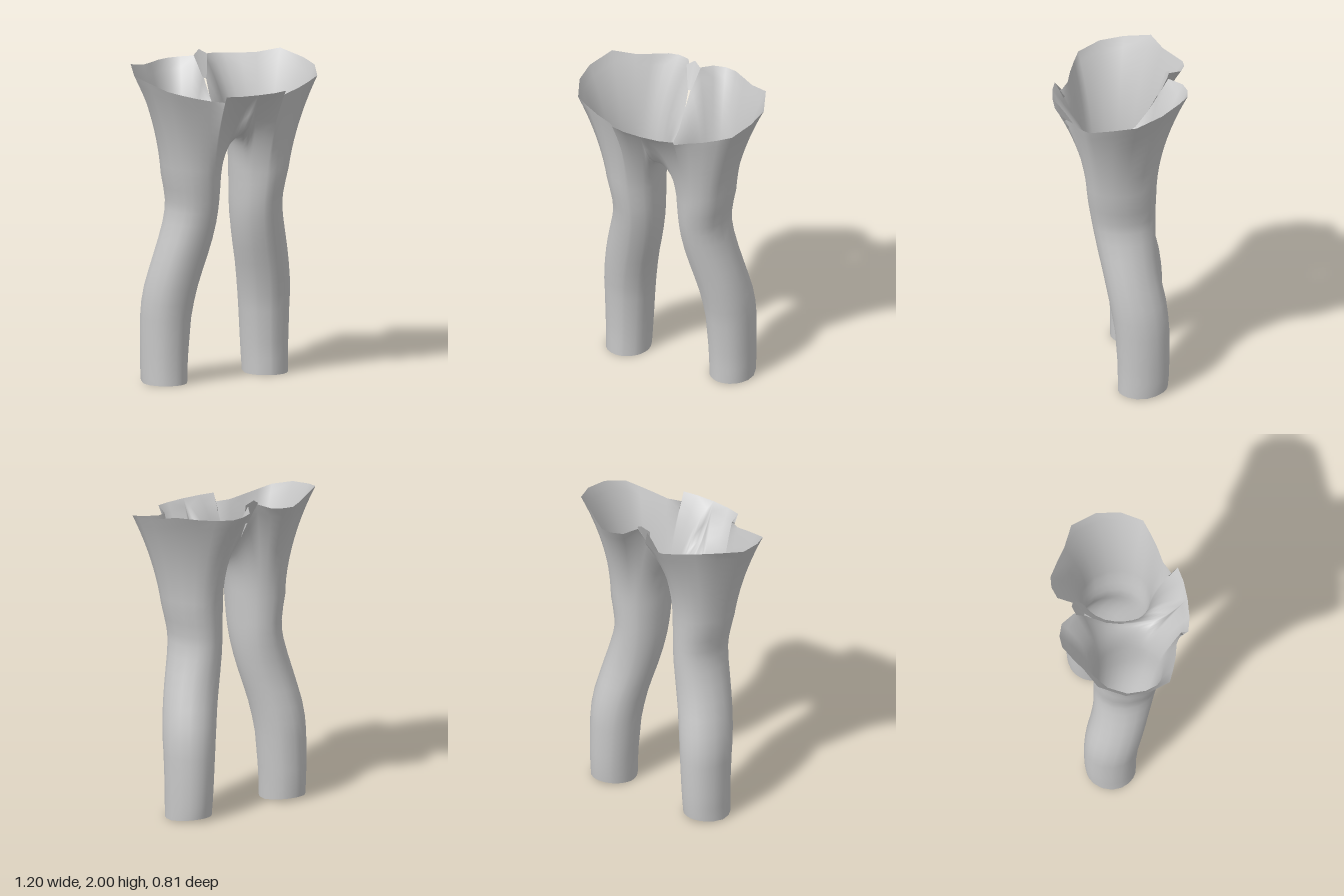
import * as THREE from 'three';

// Leg sections from hem to upper thigh: y, inner x, outer x, back z, front z
const SECTIONS = [
  [0.00, 0.22, 0.495, -0.275, 0.03], [0.10, 0.216, 0.497, -0.283, 0.03],
  [0.20, 0.21, 0.498, -0.286, 0.032], [0.40, 0.196, 0.50, -0.287, 0.046],
  [0.50, 0.183, 0.498, -0.28, 0.062], [0.60, 0.166, 0.487, -0.267, 0.08],
  [0.70, 0.143, 0.468, -0.245, 0.10], [0.80, 0.117, 0.445, -0.226, 0.12],
  [0.90, 0.096, 0.418, -0.215, 0.142], [1.00, 0.081, 0.392, -0.21, 0.162],
  [1.08, 0.075, 0.379, -0.209, 0.177], [1.14, 0.072, 0.38, -0.209, 0.187],
  [1.22, 0.069, 0.394, -0.211, 0.20], [1.30, 0.065, 0.413, -0.214, 0.21],
];

// Upper border of one half: angle around the leg, then x, y, z
const BORDER = [
  // waist edge, front centre to back cleft
  [-45, 0, 1.83, 0.405], [-32, 0.12, 1.83, 0.398], [-18, 0.21, 1.833, 0.377],
  [-11, 0.195, 1.79, 0.335], [2, 0.27, 1.80, 0.295], [20, 0.36, 1.82, 0.275],
  [36, 0.45, 1.845, 0.245], [52, 0.53, 1.87, 0.213], [72, 0.59, 1.91, 0.08],
  [95, 0.60, 1.93, -0.07], [120, 0.53, 1.97, -0.23], [142, 0.40, 1.945, -0.295],
  [158, 0.32, 1.94, -0.35], [172, 0.23, 1.94, -0.405], [185, 0.16, 1.945, -0.41],
  [200, 0.085, 1.95, -0.385], [212, 0.035, 1.965, -0.30],
  // centre seam, down the cleft and forward under the crotch
  [220, 0.008, 1.84, -0.24], [230, 0, 1.73, -0.18], [242, 0, 1.62, -0.10],
  [256, 0, 1.56, -0.01], [270, 0, 1.538, 0.07], [283, 0, 1.538, 0.14],
  [295, 0, 1.56, 0.22], [303, 0, 1.62, 0.29], [309, 0, 1.72, 0.35],
];
const HIP_STEPS = 10;

function sectionPoint([y, inner, outer, back, front], angle) {
  return new THREE.Vector3(
    (inner + outer) / 2 + Math.sin(angle) * (outer - inner) / 2,
    y,
    (front + back) / 2 + Math.cos(angle) * (front - back) / 2
  );
}

// One leg and its half of the hips as a single open surface
function halfGeometry(side) {
  const columns = BORDER.map(([degrees, x, y, z]) => {
    const a = THREE.MathUtils.degToRad(degrees);
    const points = SECTIONS.map((s) => sectionPoint(s, a));
    // hem lifts slightly towards the back
    points[0].y = 0.022 * Math.max(0, -Math.cos(a));
    const start = points[points.length - 1];
    const end = new THREE.Vector3(x, y, z);
    const lean = 0.125 * (1 + Math.cos(a - 0.52));
    const rise = 0.5 + 0.35 * Math.max(0, -Math.sin(a)) ** 3;
    const control = start.clone().lerp(end, lean);
    control.y = THREE.MathUtils.lerp(start.y, end.y, rise);
    const hip = new THREE.QuadraticBezierCurve3(start, control, end);
    return points.concat(hip.getPoints(HIP_STEPS).slice(1));
  });

  const n = columns.length;
  const rows = columns[0].length;
  const positions = [];
  const index = [];
  for (let j = 0; j < rows; j++) {
    for (let i = 0; i < n; i++) {
      const p = columns[i][j];
      positions.push(p.x * side, p.y, p.z);
      if (j === rows - 1) continue;
      const a = j * n + i;
      const b = j * n + (i + 1) % n;
      const c = b + n;
      const d = a + n;
      if (side > 0) index.push(a, b, c, a, c, d);
      else index.push(a, c, b, a, d, c);
    }
  }
  const geometry = new THREE.BufferGeometry();
  geometry.setAttribute('position', new THREE.Float32BufferAttribute(positions, 3));
  geometry.setIndex(index);
  geometry.computeVertexNormals();

  // Blend the two halves smoothly where they meet on the centre line
  const position = geometry.attributes.position;
  const normal = geometry.attributes.normal;
  const v = new THREE.Vector3();
  for (let i = 0; i < position.count; i++) {
    if (Math.abs(position.getX(i)) > 1e-5 || position.getZ(i) < 0) continue;
    v.fromBufferAttribute(normal, i).setX(0).normalize();
    normal.setXYZ(i, v.x, v.y, v.z);
  }
  return geometry;
}

// Small folded peak at the top of the back cleft
function peakGeometry() {
  const geometry = new THREE.BufferGeometry();
  geometry.setAttribute('position', new THREE.Float32BufferAttribute([
    0, 2.0, -0.31,
    0.048, 1.97, -0.29,
    0.015, 1.84, -0.24,
    0, 1.83, -0.23,
    -0.015, 1.84, -0.24,
    -0.048, 1.97, -0.29,
  ], 3));
  geometry.setIndex([0, 3, 2, 0, 2, 1, 0, 5, 4, 0, 4, 3]);
  geometry.computeVertexNormals();
  return geometry;
}

export function createModel() {
  const group = new THREE.Group();
  group.name = 'legs';
  const grey = new THREE.MeshStandardMaterial({ color: 0xc8c8c8, side: THREE.DoubleSide });
  grey.name = 'light grey';

  const add = (geometry, name) => {
    const mesh = new THREE.Mesh(geometry, grey);
    mesh.name = name;
    group.add(mesh);
  };
  add(halfGeometry(1), 'leftLegAndHip');
  add(halfGeometry(-1), 'rightLegAndHip');
  add(peakGeometry(), 'backPeak');
  return group;
}
